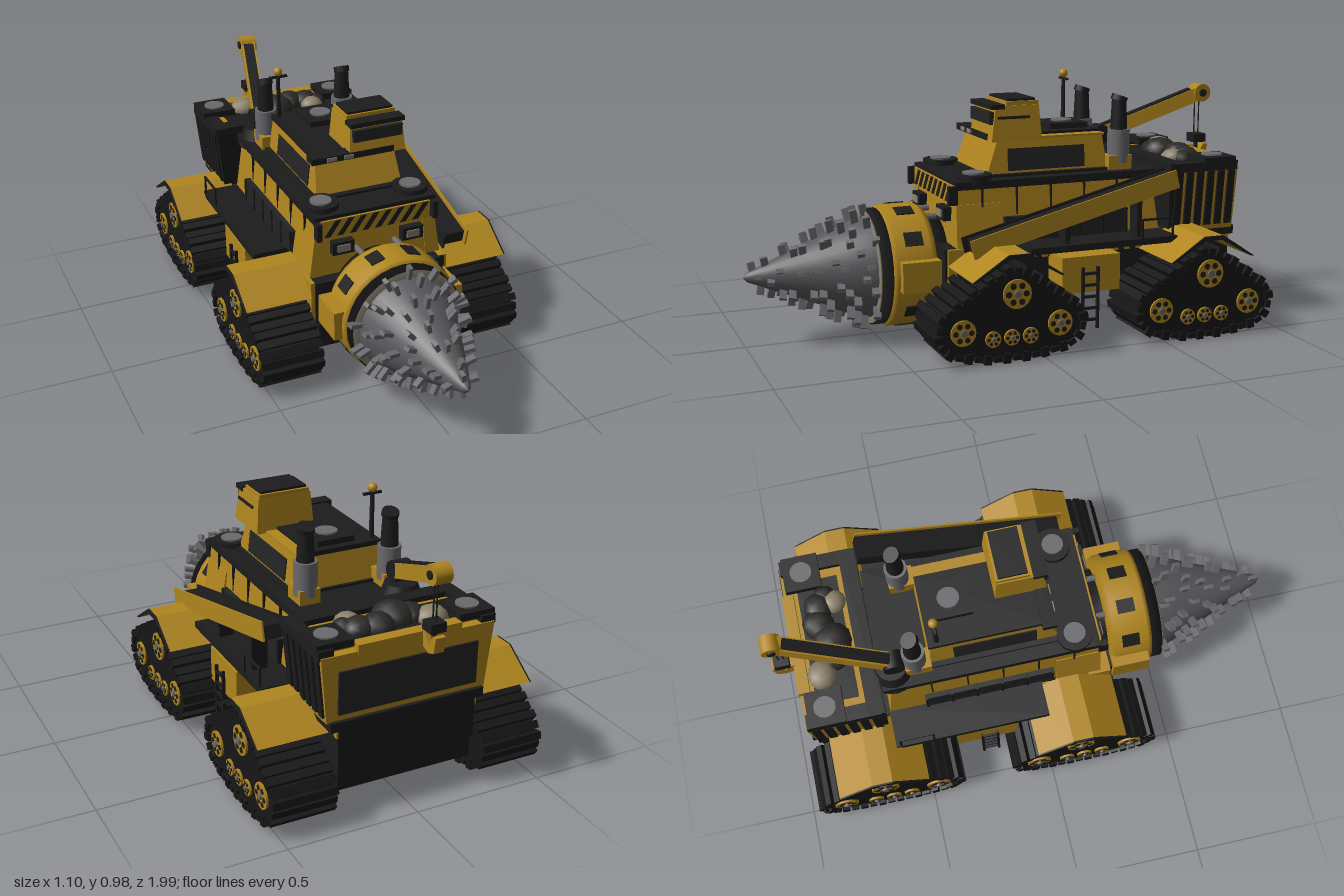
import * as THREE from 'three';

const mat = (name, color, side = THREE.FrontSide) => {
  const m = new THREE.MeshStandardMaterial({ color, side });
  m.name = name;
  return m;
};

export function createModel() {
  const root = new THREE.Group();
  root.name = 'drillingVehicle';
  const yellow = mat('yellow paint', 0xaf851e), black = mat('black', 0x1c1c1c), tread = mat('tread rubber', 0x161616),
    drillGrey = mat('drill grey', 0x5a5a5d), steel = mat('tooth steel', 0x6a6a6e), lens = mat('lens', 0x8a8270),
    glass = mat('dark panel', 0x242424), stone = mat('pale rock', 0x8a8068), darkStone = mat('dark rock', 0x2b2a28);

  // --- helpers ---
  const add = (name, geo, m, parent = root) => {
    const mesh = new THREE.Mesh(geo, m);
    mesh.name = name;
    parent.add(mesh);
    return mesh;
  };
  const box = (name, m, x0, x1, y0, y1, z0, z1, parent = root) => {
    const g = new THREE.BoxGeometry(Math.abs(x1 - x0), y1 - y0, Math.abs(z1 - z0));
    return add(name, g.translate((x0 + x1) / 2, (y0 + y1) / 2, (z0 + z1) / 2), m, parent);
  };
  const both = (name, m, x0, x1, ...r) => { for (const s of [1, -1]) box(name, m, s * x0, s * x1, ...r); };
  // box whose bottom and top rectangles [x0, x1, z0, z1] differ
  const taper = (name, m, y0, y1, bottom, top) => {
    const g = new THREE.BoxGeometry(1, 1, 1), p = g.attributes.position;
    for (let i = 0; i < p.count; i++) {
      const up = p.getY(i) > 0, r = up ? top : bottom;
      p.setXYZ(i, p.getX(i) > 0 ? r[1] : r[0], up ? y1 : y0, p.getZ(i) > 0 ? r[3] : r[2]);
    }
    g.computeVertexNormals();
    return add(name, g, m);
  };
  const cyl = (name, m, rTop, rBot, y0, y1, x, z, n = 16) =>
    add(name, new THREE.CylinderGeometry(rTop, rBot, y1 - y0, n).translate(x, (y0 + y1) / 2, z), m);
  const axle = (name, m, r, x0, x1, y, z, n = 16) =>
    add(name, new THREE.CylinderGeometry(r, r, Math.abs(x1 - x0), n).rotateZ(Math.PI / 2).translate((x0 + x1) / 2, y, z), m);
  const shapeOf = pts => new THREE.Shape(pts.map(p => new THREE.Vector2(p[0], p[1])));
  // extrude a (z, y) outline from x0 to x1
  const slab = (name, m, shape, x0, x1) => add(name, new THREE.ExtrudeGeometry(shape,
    { depth: x1 - x0, bevelEnabled: false }).rotateY(-Math.PI / 2).translate(x1, 0, 0), m);
  const lathe = (name, m, pts, n = 32) => add(name, new THREE.LatheGeometry(pts.map(p => new THREE.Vector2(p[0], p[1])), n)
    .rotateX(Math.PI / 2).translate(0, 0.265, 0), m);

  // --- chassis ---
  box('chassis', black, -0.27, 0.27, 0.18, 0.37, -0.91, 0.3);
  for (const z of [0.115, -0.68]) box('axleHousing', black, -0.265, 0.265, 0.1, 0.2, z - 0.22, z + 0.2);
  for (const s of [1, -1]) {
    const x0 = s > 0 ? 0.27 : -0.276;
    box('hazardBand', yellow, x0, x0 + 0.006, 0.31, 0.355, -0.91, 0.27);
    for (let z = -0.89; z < 0.22; z += 0.05)
      slab('hazardStripe', black, shapeOf([[z, 0.31], [z + 0.022, 0.31], [z + 0.042, 0.355], [z + 0.02, 0.355]]), x0 - 0.002, x0 + 0.008);
  }
  both('sideLocker', yellow, 0.27, 0.4, 0.19, 0.33, -0.36, -0.12);
  both('walkway', black, 0.25, 0.41, 0.355, 0.38, -0.6, 0.01);
  // ladders and rails
  for (const s of [1, -1]) {
    for (const z of [-0.2, -0.262]) box('ladderPost', black, s * 0.405, s * 0.417, 0.05, 0.29, z - 0.005, z + 0.005);
    for (let i = 0; i < 5; i++) box('ladderRung', black, s * 0.406, s * 0.416, 0.08 + i * 0.045, 0.09 + i * 0.045, -0.262, -0.2);
    for (const z of [-0.45, -0.58]) box('railPost', black, s * 0.403, s * 0.41, 0.38, 0.455, z - 0.004, z + 0.004);
    box('handRail', black, s * 0.403, s * 0.41, 0.448, 0.456, -0.584, -0.446);
  }

  // --- four triangular track units ---
  const loop = inset => {
    const circles = [[0.21, 0.125, 0.092], [-0.173, 0.125, 0.092], [0, 0.25, 0.09], [0.1, 0.09, 0.076], [-0.06, 0.09, 0.076]];
    return Array.from({ length: 90 }, (_, i) => {
      const a = i / 90 * Math.PI * 2, c = Math.cos(a), s = Math.sin(a);
      const k = circles.reduce((m, q) => (q[0] * c + q[1] * s + q[2] > m[0] * c + m[1] * s + m[2] ? q : m));
      return [k[0] + c * (k[2] - inset), k[1] + s * (k[2] - inset)];
    });
  };
  const count = 38, beltPts = loop(0), pads = shapeOf([...beltPts, beltPts[0]]).getSpacedPoints(count).slice(0, count);
  const wheels = [[0.207, 0.125, 0.048], [-0.17, 0.125, 0.048], [0, 0.25, 0.055], [0.093, 0.09, 0.03], [0.02, 0.09, 0.03], [-0.053, 0.09, 0.03]];
  for (const zc of [0.115, -0.68]) for (const s of [1, -1]) {
    const x0 = s > 0 ? 0.29 : -0.535, x1 = x0 + 0.245, out = s > 0 ? x1 : x0;
    slab('trackCore', tread, shapeOf(loop(0.006).map(p => [p[0] + zc, p[1]])), x0 + 0.012, x1 - 0.012);
    pads.forEach((p, i) => {
      const q = pads[(i + 1) % count], pad = add('trackPad', new THREE.BoxGeometry(0.245, i % 2 ? 0.036 : 0.02, 0.028), tread);
      pad.position.set((x0 + x1) / 2, (p.y + q.y) / 2, zc + (p.x + q.x) / 2);
      pad.rotation.x = -Math.atan2(q.y - p.y, q.x - p.x);
    });
    for (const [z, y, r] of wheels) {
      axle('roadWheel', yellow, r, out - s * 0.03, out - s * 0.004, y, zc + z, 20);
      axle('wheelHub', steel, r * 0.26, out - s * 0.006, out + s * 0.004, y, zc + z, 10);
      for (let i = 0; i < 6; i++) {
        const a = i * Math.PI / 3;
        axle('wheelHole', black, r * 0.22, out - s * 0.006, out - s * 0.002, y + Math.sin(a) * r * 0.62, zc + z + Math.cos(a) * r * 0.62, 8);
      }
    }
    // peaked mudguard with a dark outer edge
    const f = [[-0.178, 0.31], [-0.165, 0.31], [-0.035, 0.383], [0.035, 0.383], [0.165, 0.31], [0.178, 0.31], [0.04, 0.4], [-0.04, 0.4]];
    const guard = shapeOf(f.map(p => [p[0] + zc, p[1]]));
    slab('mudguard', yellow, guard, s > 0 ? 0.28 : -0.543, s > 0 ? 0.543 : -0.28);
    slab('mudguardEdge', black, guard, s > 0 ? 0.543 : -0.549, s > 0 ? 0.549 : -0.543);
  }

  // --- drill ---
  const prof = [[0.2, 0.5], [0.192, 0.55], [0.16, 0.64], [0.118, 0.74], [0.082, 0.83], [0.045, 0.92], [0.018, 0.985], [0.001, 1]];
  lathe('drillCone', drillGrey, prof, 28);
  const radius = z => {
    const i = Math.max(1, prof.findIndex(p => p[1] >= z)), a = prof[i - 1], b = prof[i];
    return a[0] + (b[0] - a[0]) * (z - a[1]) / (b[1] - a[1]);
  };
  for (let row = 0; row < 10; row++) {
    const z = 0.545 + row * 0.045, n = Math.max(4, Math.round(radius(z) * 75));
    for (let i = 0; i < n; i++) {
      const zi = z + (i % 3 - 1) * 0.014, r = radius(zi), a = (i / n) * Math.PI * 2 + row * 0.37, h = 0.045 + r * 0.22;
      const g = new THREE.BoxGeometry(0.016, h, 0.027).rotateX(0.2).translate(0, r + h * 0.08, zi).rotateZ(a);
      add('drillTooth', g.translate(0, 0.265, 0), steel);
    }
  }
  lathe('bearingRing', black, [[0.001, 0.46], [0.225, 0.46], [0.225, 0.525], [0.001, 0.525]]);
  lathe('dustSeal', lens, [[0.19, 0.525], [0.219, 0.525], [0.219, 0.531], [0.19, 0.531]]);
  lathe('drillCollar', yellow, [[0.001, 0.31], [0.222, 0.31], [0.235, 0.335], [0.235, 0.465], [0.226, 0.482], [0.2, 0.482]]);
  lathe('driveHousing', black, [[0.001, 0.24], [0.185, 0.24], [0.185, 0.315]]);
  // dark inset pads around the collar
  for (let i = 0; i < 10; i++)
    add('collarPad', new THREE.BoxGeometry(0.055, 0.012, 0.07).translate(0, 0.232, 0.395).rotateZ((i + 0.5) * Math.PI / 5).translate(0, 0.265, 0), black);
  both('collarClamp', yellow, 0.2, 0.265, 0.215, 0.33, 0.31, 0.46);
  both('collarBracket', yellow, 0.2, 0.285, 0.19, 0.37, 0.2, 0.29);
  for (const x of [-0.08, 0.08])
    add('feedRod', new THREE.CylinderGeometry(0.012, 0.012, 0.14, 10).rotateX(Math.PI / 2).translate(x, 0.46, 0.3), steel);

  // --- main body ---
  taper('body', yellow, 0.35, 0.59, [-0.265, 0.265, -0.6, 0.25], [-0.24, 0.24, -0.57, 0.24]);
  box('bodyDeck', black, -0.25, 0.25, 0.585, 0.615, -0.6, 0.245);
  for (const s of [1, -1])
    taper('frontCorner', yellow, 0.35, 0.53, [s * 0.245 - 0.032, s * 0.245 + 0.032, 0.07, 0.252], [s * 0.225 - 0.025, s * 0.225 + 0.025, 0.07, 0.246]);
  both('sideVent', glass, 0.25, 0.272, 0.38, 0.475, -0.45, 0.06);
  for (let i = 0; i < 6; i++) both('ventPost', black, 0.25, 0.277, 0.38, 0.475, -0.452 + i * 0.1, -0.442 + i * 0.1);
  for (let i = 0; i < 5; i++) both('panelSeam', black, 0.235, 0.252, 0.48, 0.59, -0.42 + i * 0.14, -0.414 + i * 0.14);
  box('hazardPlate', yellow, -0.225, 0.225, 0.53, 0.6, 0.245, 0.254);
  for (let i = 0; i < 8; i++) {
    const x = -0.215 + i * 0.052;
    add('frontStripe', new THREE.ExtrudeGeometry(shapeOf([[x, 0.533], [x + 0.024, 0.533], [x + 0.07, 0.597], [x + 0.046, 0.597]]),
      { depth: 0.004, bevelEnabled: false }).translate(0, 0, 0.253), black);
  }
  for (const s of [1, -1]) {
    box('headlightFrame', black, s * 0.1, s * 0.188, 0.46, 0.512, 0.24, 0.275);
    box('headlight', lens, s * 0.118, s * 0.17, 0.472, 0.5, 0.275, 0.28);
    box('mirror', black, s * 0.23, s * 0.25, 0.53, 0.6, 0.24, 0.275);
    cyl('frontHatch', black, 0.07, 0.07, 0.6, 0.635, s * 0.187, 0.155);
    cyl('frontHatchLid', steel, 0.042, 0.042, 0.635, 0.642, s * 0.187, 0.155);
    // exhaust stacks
    box('stackBase', yellow, s * 0.13, s * 0.21, 0.56, 0.67, -0.5, -0.4);
    cyl('stackMuffler', steel, 0.044, 0.044, 0.64, 0.77, s * 0.17, -0.46);
    cyl('stackPipe', black, 0.028, 0.034, 0.76, 0.89, s * 0.17, -0.46, 14);
    add('stackCap', new THREE.CylinderGeometry(0.032, 0.032, 0.022, 14).rotateX(-0.35).translate(s * 0.17, 0.89, -0.46), black);
  }

  // --- cabin and turret ---
  taper('cabin', yellow, 0.61, 0.75, [-0.18, 0.18, -0.41, 0.1], [-0.165, 0.165, -0.39, 0.05]);
  box('cabinSill', black, -0.2, 0.2, 0.605, 0.625, -0.42, 0.12);
  for (const s of [1, -1])
    add('sideWindow', new THREE.BoxGeometry(0.008, 0.085, 0.32).rotateZ(s * 0.107).translate(s * 0.173, 0.675, -0.15), glass);
  box('cabinRoof', black, -0.17, 0.12, 0.75, 0.768, -0.4, 0.06);
  box('cabinVisor', black, -0.19, 0.15, 0.75, 0.775, 0.03, 0.085);
  for (const x of [-0.11, -0.04]) box('visorLamp', lens, x - 0.02, x + 0.02, 0.755, 0.77, 0.085, 0.09);
  box('roofStrip', yellow, 0.12, 0.165, 0.75, 0.758, -0.4, -0.12);
  box('roofHatch', black, -0.075, 0.075, 0.768, 0.79, -0.37, -0.21);
  cyl('roofHatchLid', steel, 0.042, 0.042, 0.79, 0.797, 0, -0.29);
  taper('turret', yellow, 0.75, 0.885, [-0.035, 0.2, -0.12, 0.085], [-0.025, 0.19, -0.11, 0.065]);
  box('turretRoof', yellow, -0.02, 0.185, 0.885, 0.9, -0.11, 0.02);
  box('turretRoofPlate', black, -0.012, 0.177, 0.9, 0.909, -0.1, 0.012);
  box('turretVisor', black, -0.03, 0.195, 0.872, 0.89, 0.03, 0.085);
  box('turretWindow', glass, -0.02, 0.185, 0.815, 0.862, 0.07, 0.088);
  box('turretSlot', black, 0.19, 0.199, 0.835, 0.845, -0.07, 0.06);
  cyl('beaconPole', black, 0.008, 0.01, 0.75, 0.95, -0.148, -0.365, 8);
  box('beaconBar', black, -0.185, -0.11, 0.936, 0.945, -0.37, -0.36);
  add('beacon', new THREE.SphereGeometry(0.018, 14, 10).translate(-0.148, 0.962, -0.365), yellow);

  // --- conveyor on the left side ---
  const along = (name, from, to) => {
    const g = new THREE.Group(), a = new THREE.Vector3(...from), b = new THREE.Vector3(...to);
    g.name = name;
    g.position.copy(a);
    g.lookAt(b);
    root.add(g);
    return [g, a.distanceTo(b)];
  };
  // local -x of this group points to the vehicle's outer side
  const [conveyor, cl] = along('conveyor', [0.35, 0.395, 0.22], [0.35, 0.6, -0.6]);
  box('belt', black, -0.047, 0.05, -0.03, 0.02, 0, cl, conveyor);
  box('outerRail', yellow, -0.054, -0.047, -0.035, 0.037, -0.02, cl, conveyor);
  box('innerRail', black, 0.044, 0.052, -0.03, 0.03, -0.02, cl, conveyor);
  for (const [z, y] of [[-0.15, 0.46], [-0.45, 0.53]]) box('conveyorStrut', black, 0.32, 0.38, 0.37, y, z - 0.01, z + 0.01);

  // --- rear hopper ---
  taper('hopper', yellow, 0.37, 0.62, [-0.31, 0.31, -0.9, -0.62], [-0.335, 0.335, -0.905, -0.61]);
  taper('hopperFront', black, 0.375, 0.62, [-0.311, 0.311, -0.64, -0.614], [-0.336, 0.336, -0.63, -0.603]);
  box('hopperFill', black, -0.25, 0.25, 0.6, 0.628, -0.85, -0.69);
  box('hopperLedge', yellow, -0.29, 0.29, 0.6, 0.625, -0.87, -0.66);
  box('rearRim', yellow, -0.2, 0.2, 0.61, 0.645, -0.91, -0.865);
  box('frontRim', black, -0.34, 0.34, 0.61, 0.645, -0.67, -0.605);
  both('sideRim', black, 0.285, 0.342, 0.61, 0.645, -0.9, -0.62);
  for (const s of [1, -1]) {
    for (let i = 0; i < 6; i++)
      add('hopperSlot', new THREE.BoxGeometry(0.014, 0.22, 0.03).rotateZ(-s * 0.1).translate(s * 0.324, 0.5, -0.645 - i * 0.046), black);
    box('rearHatch', black, s * 0.205, s * 0.345, 0.635, 0.662, -0.89, -0.75);
    cyl('rearHatchLid', steel, 0.042, 0.042, 0.662, 0.668, s * 0.275, -0.82);
  }
  box('tailPanel', glass, -0.27, 0.27, 0.4, 0.56, -0.911, -0.9);
  box('tailBumper', black, -0.3, 0.3, 0.34, 0.375, -0.915, -0.62);
  [[-0.14, -0.81, 0.06, 1], [-0.08, -0.76, 0.06, 0], [-0.02, -0.75, 0.08, 0], [0.06, -0.79, 0.065, 0], [0.14, -0.72, 0.05, 1],
    [0.13, -0.78, 0.06, 0], [0.17, -0.75, 0.045, 0]].forEach(([x, z, r, pale], i) =>
    add('rock', new THREE.IcosahedronGeometry(r, 1).scale(1, 0.75, 0.95).rotateY(i * 1.3).translate(x, 0.635, z), pale ? stone : darkStone));

  // --- crane ---
  cyl('craneBase', black, 0.06, 0.088, 0.58, 0.66, -0.17, -0.55);
  axle('cranePivot', black, 0.04, -0.205, -0.135, 0.7, -0.54);
  const [boom, bl] = along('craneBoom', [-0.17, 0.7, -0.54], [-0.065, 0.865, -0.95]);
  box('boomArm', yellow, -0.028, 0.028, -0.028, 0.028, 0, bl, boom);
  box('boomTop', black, -0.021, 0.021, 0.028, 0.034, 0.02, bl - 0.03, boom);
  axle('boomPulley', yellow, 0.037, -0.1, -0.035, 0.868, -0.955);
  axle('boomPulleyPin', black, 0.016, -0.106, -0.029, 0.868, -0.955, 10);
  for (const z of [-0.935, -0.955]) cyl('cable', black, 0.003, 0.003, 0.68, 0.86, -0.065, z, 6);
  box('hookBlock', black, -0.095, -0.035, 0.66, 0.695, -0.975, -0.918);
  const hook = [[-0.98, 0.59], [-0.946, 0.578], [-0.915, 0.59], [-0.9, 0.65], [-0.92, 0.65], [-0.946, 0.61], [-0.97, 0.65], [-0.99, 0.65]];
  slab('hook', yellow, shapeOf(hook), -0.085, -0.045);
  cyl('hookStem', black, 0.008, 0.008, 0.6, 0.665, -0.065, -0.946, 8);

  return root;
}
